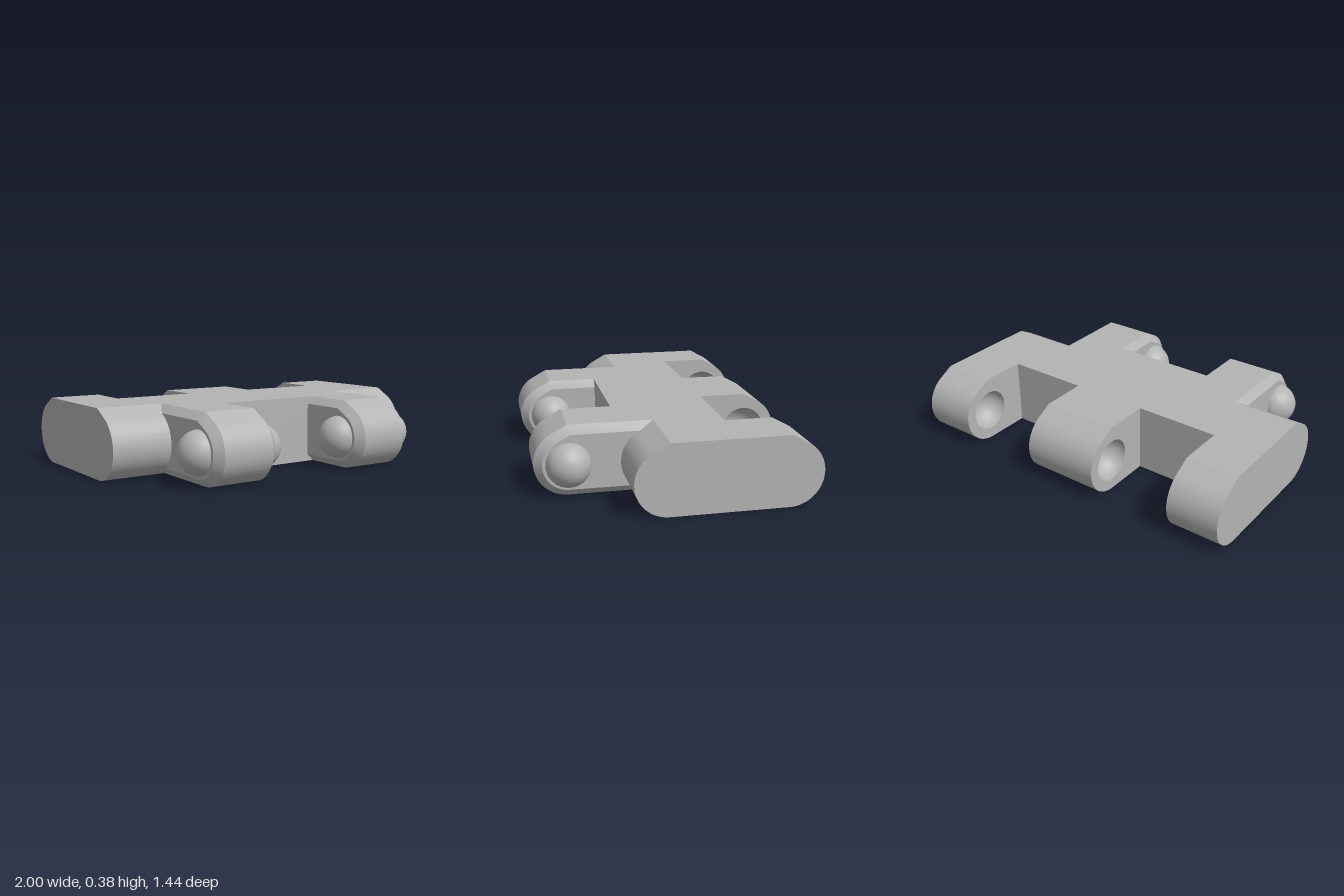
import * as THREE from 'three';
import { toCreasedNormals } from 'three/addons/utils/BufferGeometryUtils.js';

const H = 0.385;      // link thickness
const R = 0.18;       // radius of the rounded ends
const BALL = 0.12;    // hinge ball and socket radius
const CX = -0.0075;   // centre line of the hinge pattern
const BACK = -0.72, FRONT = 0.265, TIP = 0.72, NOTCH = -0.28;
const BACK_AXIS = BACK + R, FRONT_AXIS = TIP - R;

// Side profile with u = -z; each end is either square or rounded with a sloped top
function profile(back, front, roundBack, roundFront) {
  const s = new THREE.Shape();
  const ub = -back, uf = -front;
  if (roundBack) {
    s.absarc(ub - R, R, R, -Math.PI / 2, Math.PI / 3, false);
    s.lineTo(ub - R, H);
  } else {
    s.moveTo(ub, 0);
    s.lineTo(ub, H);
  }
  if (roundFront) {
    s.lineTo(uf + R, H);
    s.absarc(uf + R, R, R, Math.PI * 2 / 3, Math.PI * 1.5, false);
  } else {
    s.lineTo(uf, H);
    s.lineTo(uf, 0);
  }
  return s;
}

function withSocketHole(shape) {
  const hole = new THREE.Path();
  hole.absarc(-BACK_AXIS, R, BALL, 0, Math.PI * 2, true);
  shape.holes.push(hole);
  return shape;
}

// Sweep a side profile from x0 to x1, with an optional chamfer on both sides
function sweep(shape, x0, x1, chamfer = 0) {
  const g = new THREE.ExtrudeGeometry(shape, {
    depth: x1 - x0 - 2 * chamfer, curveSegments: 24,
    bevelEnabled: chamfer > 0, bevelThickness: chamfer, bevelSize: chamfer,
    bevelOffset: -chamfer, bevelSegments: 1,
  });
  g.rotateY(Math.PI / 2);
  g.translate(x0 + chamfer, 0, 0);
  return toCreasedNormals(g, 0.4);
}

export function createModel() {
  const group = new THREE.Group();
  const grey = new THREE.MeshStandardMaterial({ color: 0xb4b4b4, side: THREE.DoubleSide });
  grey.name = 'grey';

  const add = (name, geometry) => {
    const m = new THREE.Mesh(geometry, grey);
    m.name = name;
    group.add(m);
    return m;
  };

  // Hollow half sphere opening at x and sinking towards dir
  const socket = (x, dir) => {
    const g = new THREE.SphereGeometry(BALL, 48, 16, 0, Math.PI * 2, 0, Math.PI / 2);
    g.rotateZ(-dir * Math.PI / 2);
    add('socket', g).position.set(x, R, BACK_AXIS);
  };

  // Central body and rear middle lug
  add('body', sweep(profile(NOTCH, FRONT, false, false), CX - 0.45, CX + 0.45));
  add('middleLug', sweep(withSocketHole(profile(BACK, -0.2, true, false)), CX - 0.22, CX + 0.22));

  for (const side of [1, -1]) {
    const at = (d) => CX + side * d;
    const span = (shape, a, b, chamfer) =>
      sweep(shape, Math.min(a, b), Math.max(a, b), chamfer);
    const label = side > 0 ? 'left' : 'right';

    // Body shoulder, rounded at the front and square in the notch
    add(label + 'Shoulder', span(profile(NOTCH, FRONT, false, true), at(0.45), at(0.6975)));

    // Outer lug: socketed inner part and solid outer part
    const full = () => profile(BACK, FRONT, true, true);
    add(label + 'LugInner', span(withSocketHole(full()), at(0.6975), side * 0.85));
    add(label + 'LugOuter', span(full(), side * 0.85, side));

    // Chamfered front tongue with a hinge ball on each face
    add(label + 'Tongue', span(profile(0, TIP, false, true), at(0.2725), at(0.6525), 0.043));
    for (const d of [0.281, 0.644]) {
      const ball = new THREE.SphereGeometry(BALL, 48, 32);
      add(label + 'HingeBall', ball).position.set(at(d), R, FRONT_AXIS);
    }

    // Sockets facing into the rear notch
    socket(at(0.22), -side);
    socket(at(0.6975), side);
  }
  return group;
}
